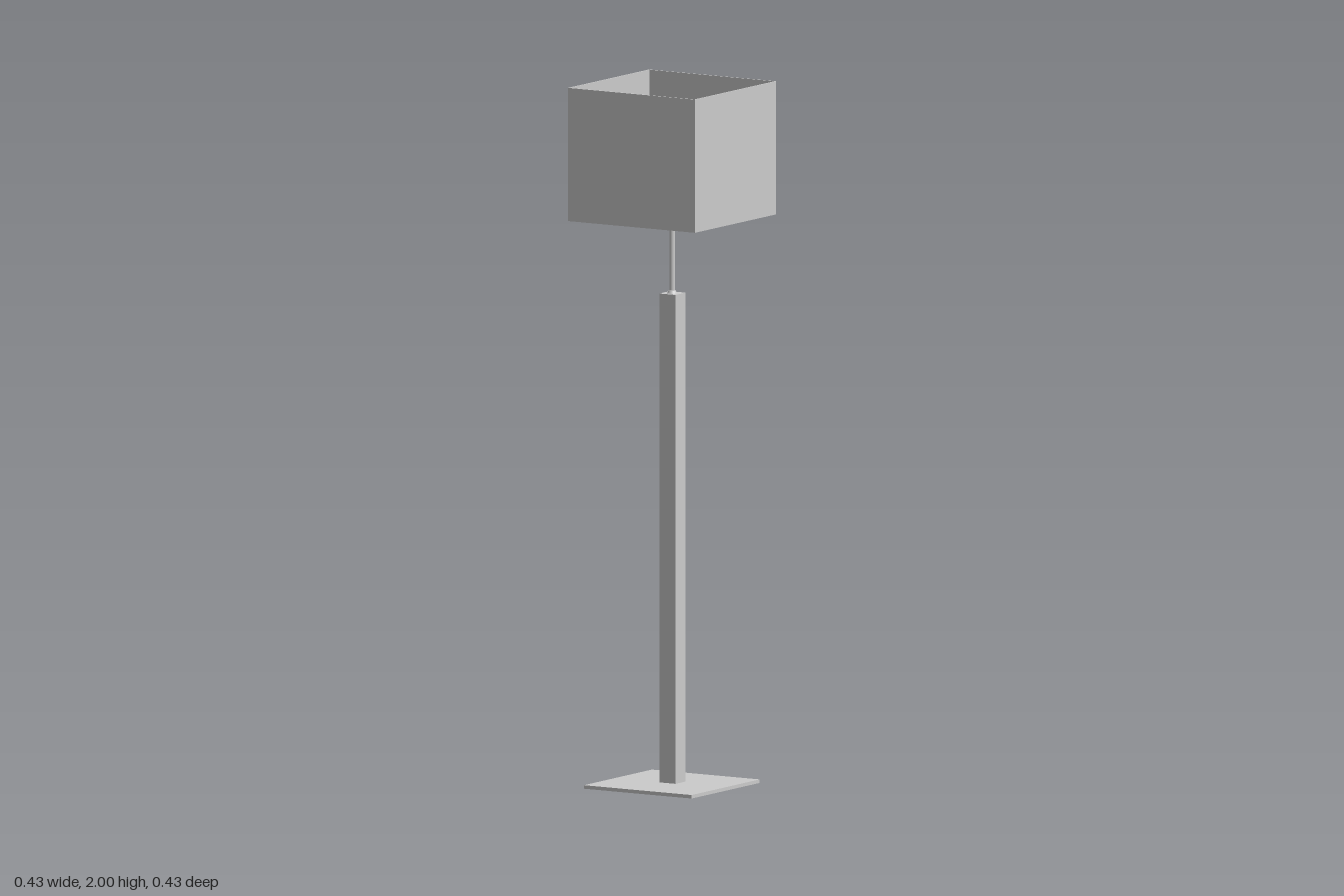
import * as THREE from 'three';

export function createModel() {
  const group = new THREE.Group();
  const grey = new THREE.MeshStandardMaterial({ color: 0xcccccc });
  const black = new THREE.MeshStandardMaterial({ color: 0x111111 });

  const add = (name, geometry, x, y, z, material = grey) => {
    const mesh = new THREE.Mesh(geometry, material);
    mesh.name = name;
    mesh.position.set(x, y, z);
    group.add(mesh);
    return mesh;
  };
  const lathe = (points, segments = 32) =>
    new THREE.LatheGeometry(points.map(([r, y]) => new THREE.Vector2(r, y)), segments);

  // Floor plate and square post
  add('basePlate', new THREE.BoxGeometry(0.36, 0.01, 0.36), 0.002, 0.005, 0.005);
  add('post', new THREE.BoxGeometry(0.054, 1.395, 0.054), 0, 0.7075, -0.002);

  // Thin rod with a small collar where it leaves the post
  add('rodCollar', new THREE.CylinderGeometry(0.01, 0.015, 0.01, 24), 0, 1.408, 0);
  add('rod', new THREE.CylinderGeometry(0.008, 0.008, 0.2, 24), 0, 1.505, 0);

  // Flared lamp holder with a rim
  add('socket', lathe([
    [0, 1.6], [0.013, 1.6], [0.015, 1.605], [0.015, 1.625], [0.02, 1.66],
    [0.025, 1.662], [0.025, 1.676], [0.015, 1.68], [0, 1.68],
  ]), 0, 0, 0).geometry = lathe([
    [0, 1.6], [0.013, 1.6], [0.015, 1.605], [0.015, 1.625], [0.02, 1.66],
    [0.025, 1.662], [0.025, 1.676], [0.015, 1.68], [0, 1.68],
  ]).toNonIndexed();

  // Round bulb tapering into its neck
  const bulb = [[0.013, 1.678], [0.015, 1.692], [0.021, 1.708]];
  for (let i = 0; i <= 12; i++) {
    const a = -0.65 + (i / 12) * (Math.PI / 2 + 0.65);
    bulb.push([Math.max(0, 0.032 * Math.cos(a)), 1.733 + 0.032 * Math.sin(a)]);
  }
  add('bulb', lathe(bulb), 0, 0, 0, black);

  // Square shade, open at the top and bottom
  const square = (path, h) =>
    path.moveTo(-h, -h).lineTo(h, -h).lineTo(h, h).lineTo(-h, h).closePath();
  const outline = new THREE.Shape();
  square(outline, 0.213);
  const opening = new THREE.Path();
  square(opening, 0.209);
  outline.holes.push(opening);
  const shade = new THREE.ExtrudeGeometry(outline, { depth: 0.38, bevelEnabled: false });
  shade.rotateX(-Math.PI / 2);
  add('shade', shade, -0.001, 1.62, -0.001).rotation.y = -0.006;

  return group;
}
